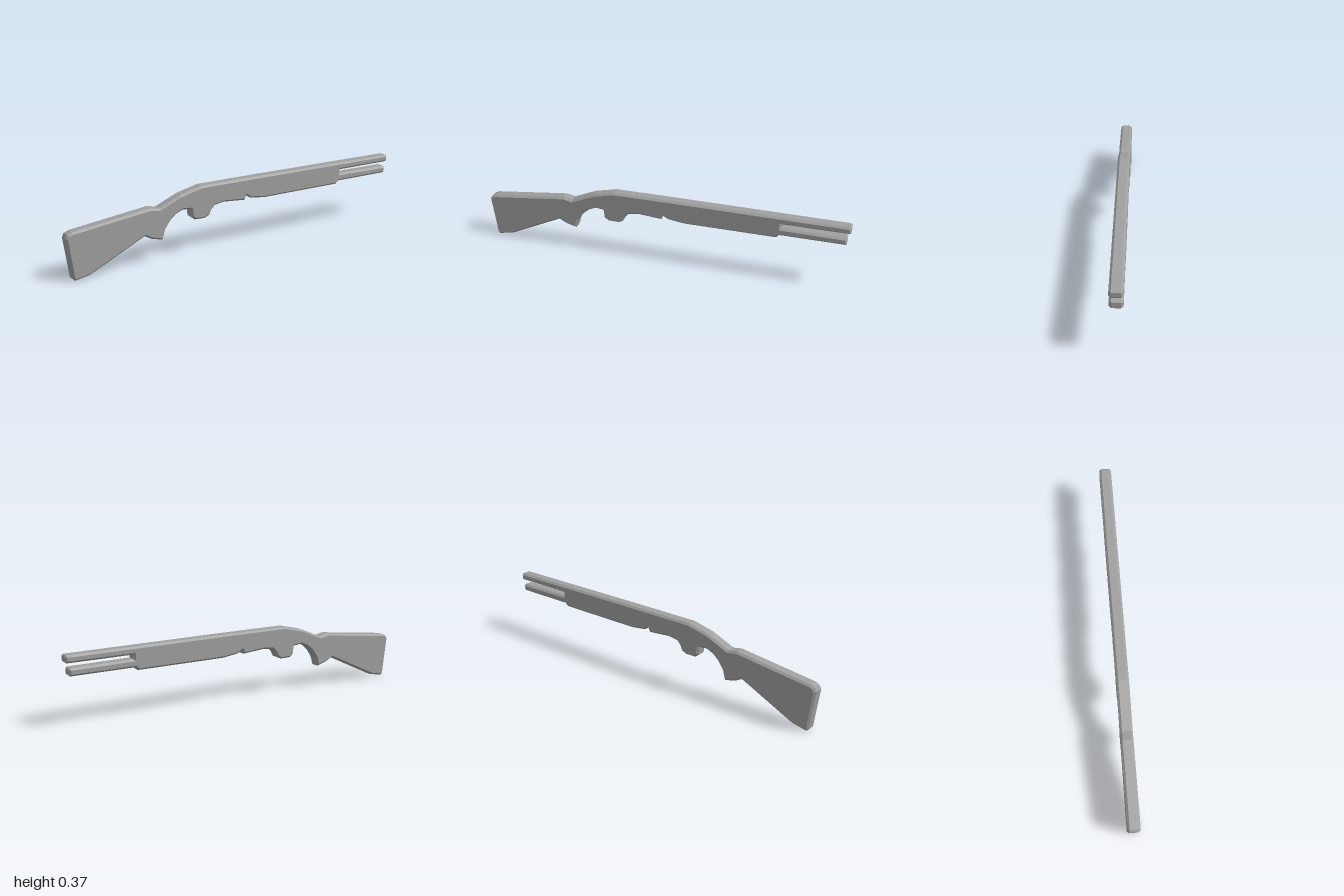
import * as THREE from 'three';

export function createModel() {
  const group = new THREE.Group();
  group.name = 'toyLongGun';
  const grey = new THREE.MeshStandardMaterial({ color: 0xa0a0a0 });
  grey.name = 'plain grey';

  // side outline, clockwise from the butt
  const top = [
    [-1, 0.222], [-0.99, 0.24], [-0.967, 0.25], [-0.55, 0.3], [-0.5, 0.29],
    [-0.375, 0.343], [-0.255, 0.371], [0.1, 0.371],
  ];
  const barrelAndTube = [
    [0.993, 0.367], [1, 0.36], [1, 0.335], [0.993, 0.328], [0.65, 0.328],
    [0.65, 0.305], [0.978, 0.302], [0.985, 0.295], [0.985, 0.269], [0.978, 0.262],
    [0.64, 0.262], [0.627, 0.246],
  ];
  const underside = [
    [0.135, 0.246], [0.045, 0.258], [0.02, 0.274], [0.008, 0.252], [-0.12, 0.263],
    [-0.175, 0.255], [-0.195, 0.235], [-0.21, 0.205], [-0.235, 0.194], [-0.295, 0.195],
    [-0.315, 0.212], [-0.32, 0.257],
  ];
  const gripAndStock = [
    [-0.365, 0.262], [-0.405, 0.245], [-0.44, 0.215], [-0.47, 0.172], [-0.485, 0.12],
    [-0.55, 0.138], [-0.585, 0.158], [-0.885, 0.015], [-0.965, 0],
    [-0.975, 0.01],
  ];
  const points = [...top, ...barrelAndTube, ...underside, ...gripAndStock];
  const shape = new THREE.Shape(points.map(([x, y]) => new THREE.Vector2(x, y)));

  // chamfer cuts inward so the outline keeps its size
  const depth = 0.044, chamfer = 0.01;
  const geometry = new THREE.ExtrudeGeometry(shape, {
    depth, bevelEnabled: true, bevelSegments: 1,
    bevelThickness: chamfer + 0.001, bevelSize: chamfer, bevelOffset: -chamfer,
  });
  geometry.translate(0, 0, -depth / 2);

  const body = new THREE.Mesh(geometry, grey);
  body.name = 'body';
  group.add(body);
  return group;
}
